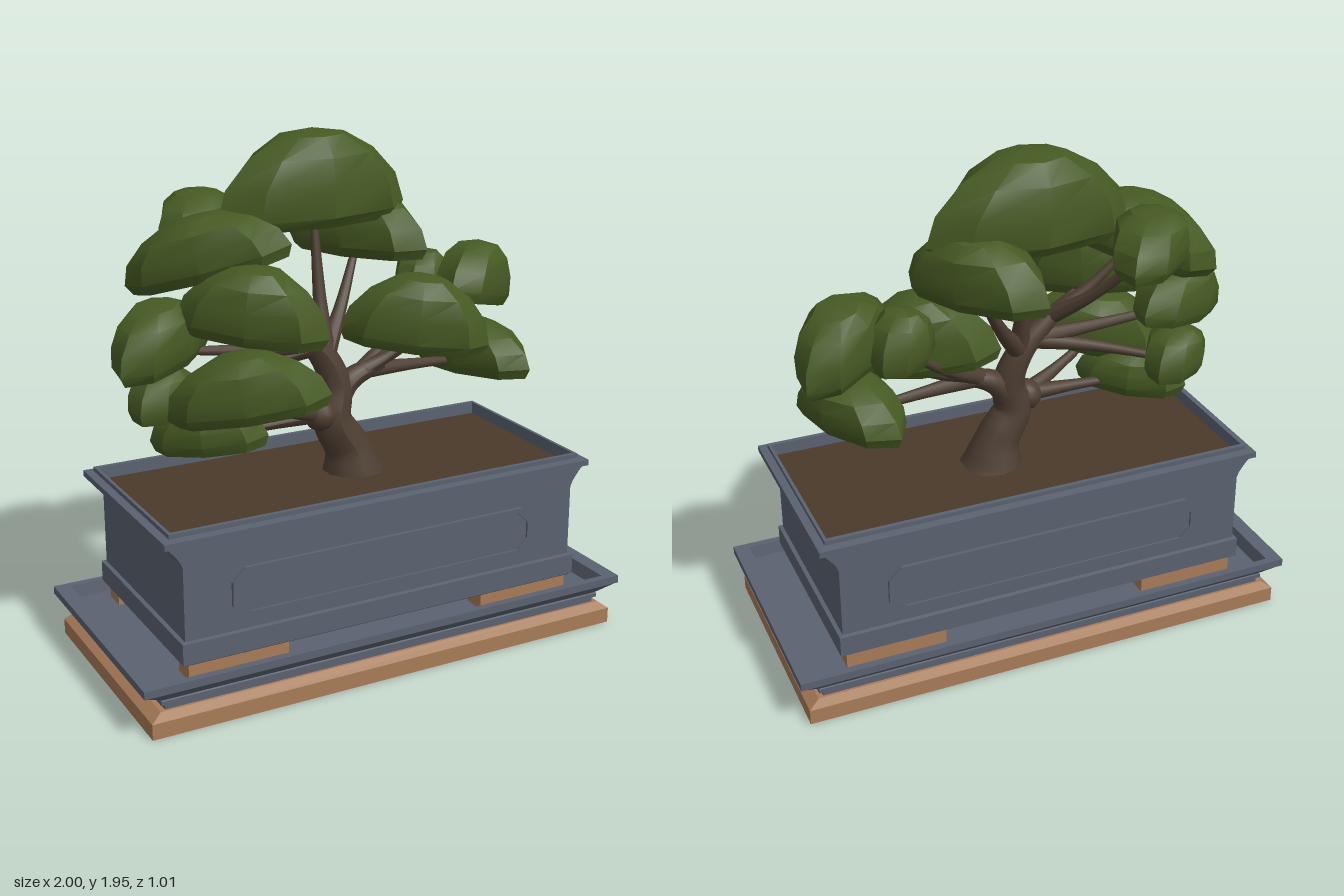
import * as THREE from 'three';
import { toCreasedNormals } from 'three/addons/utils/BufferGeometryUtils.js';

const material = (name, color) => {
  const m = new THREE.MeshStandardMaterial({ color });
  m.name = name;
  return m;
};

const V = (p) => new THREE.Vector3(p[0], p[1], p[2]);

// Skins stacked outlines: each level is [x scale, z scale, y]; a zero scale closes the end
function loft(levels, corners) {
  const pos = [];
  const n = corners.length;
  const at = (i, k) => {
    const [sx, sz, y] = levels[i];
    const c = corners[k % n];
    return [c[0] * sx, y, c[1] * sz];
  };
  for (let i = 0; i < levels.length - 1; i++) {
    for (let k = 0; k < n; k++) {
      const a = at(i, k), b = at(i, k + 1), c = at(i + 1, k + 1), d = at(i + 1, k);
      if (levels[i][0] > 0) pos.push(...a, ...b, ...c);
      if (levels[i + 1][0] > 0) pos.push(...a, ...c, ...d);
    }
  }
  const g = new THREE.BufferGeometry();
  g.setAttribute('position', new THREE.Float32BufferAttribute(pos, 3));
  g.computeVertexNormals();
  return g;
}
const SQUARE = [[1, 1], [1, -1], [-1, -1], [-1, 1]];
const OCTAGON = Array.from({ length: 8 }, (_, k) => [Math.cos(k * Math.PI / 4), -Math.sin(k * Math.PI / 4)]);

// Tapered tube through points [x, y, z, radius]
function limb(points) {
  const curve = new THREE.CatmullRomCurve3(points.map(V));
  const segs = (points.length - 1) * 5;
  const sides = 10;
  const g = new THREE.TubeGeometry(curve, segs, 1, sides, false);
  const pos = g.attributes.position;
  const p = new THREE.Vector3();
  for (let i = 0; i <= segs; i++) {
    const s = curve.getUtoTmapping(i / segs) * (points.length - 1);
    const j = Math.min(Math.floor(s), points.length - 2);
    const r = THREE.MathUtils.lerp(points[j][3], points[j + 1][3], s - j);
    const c = curve.getPointAt(i / segs);
    for (let k = 0; k <= sides; k++) {
      const id = i * (sides + 1) + k;
      p.fromBufferAttribute(pos, id).sub(c).multiplyScalar(r).add(c);
      pos.setXYZ(id, p.x, p.y, p.z);
    }
  }
  g.computeVertexNormals();
  return g;
}

// Foliage dome whose rim runs from A to B
function padGeometry(A, B, height) {
  const half = A.distanceTo(B) / 2;
  const width = 0.07 + 0.26 * half;
  const dome = [[0, 0, -0.045 / height], [0.93, 0.8, -0.04 / height], [1, 0.97, 0], [0.91, 1, 0.36],
    [0.66, 0.92, 0.7], [0.34, 0.6, 0.93], [0, 0, 1]];
  const g = loft(dome.map(([x, z, y]) => [x * half, z * width, y * height]), OCTAGON);
  const X = B.clone().sub(A).normalize();
  const Z = X.clone().cross(new THREE.Vector3(0, 1, 0)).normalize();
  const Y = Z.clone().cross(X);
  const m = new THREE.Matrix4().makeBasis(X, Y, Z).setPosition(A.clone().lerp(B, 0.5));
  return toCreasedNormals(g.applyMatrix4(m), 0.55);
}

// Branch leaving a fork [x, y, z, radius] flatly, then rising to its tip
function branchGeometry(fork, tip) {
  const mid = V(fork).lerp(tip, 0.45);
  mid.y = THREE.MathUtils.lerp(fork[1], tip.y, 0.38);
  return limb([fork, [...mid.toArray(), fork[3] * 0.62], [...tip.toArray(), 0.013]]);
}

// Rectangle with cut corners
function cutRect(Type, w, h, c) {
  const s = new Type();
  [[-w, -h + c], [-w + c, -h], [w - c, -h], [w, -h + c], [w, h - c], [w - c, h], [-w + c, h], [-w, h - c]]
    .forEach(([x, y], i) => (i ? s.lineTo(x, y) : s.moveTo(x, y)));
  s.closePath();
  return s;
}

// Limbs: a fork point with radius, and pads as rim start, rim end, height
const LIMBS = [
  { name: 'crown', fork: [-0.04, 1.12, 0, 0.042], pads: [
    [[-0.42, 1.64, -0.11], [0.37, 1.65, -0.135], 0.31],
    [[0.04, 1.5, -0.45], [0.37, 1.49, 0.05], 0.21]] },
  { name: 'upperRight', fork: [-0.17, 1.24, 0, 0.034], pads: [
    [[-0.58, 1.55, -0.1], [-0.25, 1.58, -0.5], 0.17],
    [[-0.74, 1.42, -0.22], [-0.24, 1.59, 0.13], 0.19],
    [[-0.63, 1.34, -0.02], [-0.19, 1.28, 0.32], 0.23]] },
  { name: 'middleRight', fork: [-0.08, 1.16, 0, 0.036], pads: [
    [[-0.88, 1.17, 0.08], [-0.47, 1.25, -0.18], 0.19],
    [[-0.79, 1, 0.02], [-0.53, 1, -0.2], 0.15]] },
  { name: 'lowerRight', fork: [-0.08, 0.91, 0.04, 0.036], pads: [
    [[-0.7, 0.99, 0.03], [-0.18, 1.08, 0.32], 0.2],
    [[-0.72, 0.87, -0.08], [-0.36, 0.91, 0.17], 0.14]] },
  { name: 'left', fork: [0.12, 1.04, 0, 0.036], pads: [
    [[0.07, 1.19, -0.09], [0.58, 1.12, 0.17], 0.25],
    [[0.53, 1.01, -0.28], [0.74, 1.01, 0.22], 0.16],
    [[0.45, 1.33, 0.1], [0.84, 1.21, -0.2], 0.21],
    [[0.36, 1.28, -0.05], [0.58, 1.28, -0.25], 0.17]] },
];

export function createModel() {
  const slate = material('slate glaze', 0x5a6270);
  const wood = material('warm wood', 0xa87b57);
  const soil = material('soil', 0x4b3a2a);
  const bark = material('bark', 0x4d3e32);
  const leaf = material('leaf green', 0x465a23);

  const model = new THREE.Group();
  model.name = 'pottedTree';
  const planter = new THREE.Group();
  planter.name = 'planter';
  planter.position.z = 0.03;
  const tree = new THREE.Group();
  tree.name = 'tree';
  model.add(planter, tree);
  const add = (parent, name, geo, mat) => {
    const mesh = new THREE.Mesh(geo, mat);
    mesh.name = name;
    parent.add(mesh);
    return mesh;
  };

  // Wooden plinth with a dark underside; steps are half as deep along z
  const step = ([x, y]) => [x, x ? 0.478 - (1 - x) / 2 : 0, y];
  add(planter, 'plinth', loft([[0.97, 0], [0.97, 0.06], [0.93, 0.09], [0, 0.09]].map(step), SQUARE), wood);
  add(planter, 'plinthUnderside', new THREE.BoxGeometry(1.938, 0.006, 0.924).translate(0, 0.003, 0), slate);

  // Drip tray
  add(planter, 'tray', loft([[0, 0.088], [0.91, 0.088], [0.91, 0.108], [0.925, 0.11], [0.925, 0.125],
    [0.92, 0.13], [0.985, 0.165], [1, 0.17], [1, 0.2], [0.94, 0.2], [0.925, 0.15], [0, 0.15]].map(step), SQUARE), slate);

  // Pot feet
  for (const sx of [-1, 1]) for (const sz of [-1, 1]) {
    add(planter, 'potFoot', new THREE.BoxGeometry(0.39, 0.065, 0.09), wood)
      .position.set(sx * 0.605, 0.18, sz * 0.345);
  }

  // Pot with a foot band, flared ends and a stepped rim
  const flare = [0, 0.25, 0.5, 0.75, 1].map((t) => [0.81 + 0.055 * t ** 1.4, 0.39, 0.58 + 0.08 * t]);
  add(planter, 'pot', loft([[0, 0, 0.21], [0.81, 0.39, 0.21], [0.825, 0.405, 0.22], [0.825, 0.405, 0.3],
    [0.81, 0.39, 0.303], ...flare, [0.88, 0.405, 0.662], [0.88, 0.405, 0.685], [0.85, 0.372, 0.688],
    [0.85, 0.372, 0.705], [0.838, 0.355, 0.705], [0.838, 0.355, 0.645], [0, 0, 0.645]], SQUARE), slate);
  add(planter, 'soil', new THREE.BoxGeometry(1.67, 0.02, 0.705).translate(0, 0.648, 0), soil);

  // Raised frames on the front and back
  const frame = cutRect(THREE.Shape, 0.63, 0.095, 0.05);
  frame.holes.push(cutRect(THREE.Path, 0.605, 0.075, 0.042));
  const field = cutRect(THREE.Shape, 0.605, 0.075, 0.042);
  for (const s of [0, 1]) {
    const panel = new THREE.Group();
    panel.name = s ? 'backPanel' : 'frontPanel';
    panel.rotation.y = s * Math.PI;
    planter.add(panel);
    for (const [name, shape, depth] of [['panelFrame', frame, 0.016], ['panelField', field, 0.007]]) {
      const geo = new THREE.ExtrudeGeometry(shape, { depth, bevelEnabled: false });
      add(panel, name, geo.translate(0, 0.446, 0.388), slate);
    }
  }

  // Trunk, its knot and the thick start of the left limb
  add(tree, 'trunk', limb([[0.07, 0.64, 0.015, 0.125], [0.045, 0.75, 0.015, 0.088], [-0.02, 0.87, 0.02, 0.075],
    [0, 0.99, 0.01, 0.062], [-0.05, 1.12, 0, 0.052], [-0.18, 1.25, 0, 0.034]]), bark);
  add(tree, 'trunkKnot', new THREE.SphereGeometry(0.062, 12, 8).translate(-0.085, 0.905, 0.04), bark);
  add(tree, 'leftLimb', limb([[-0.01, 0.9, 0.01, 0.05], [0.06, 1.005, 0, 0.046], [0.2, 1.06, 0, 0.03]]), bark);

  // Branches and foliage pads
  for (const { name, fork, pads } of LIMBS) {
    for (const [a, b, height] of pads) {
      const A = V(a), B = V(b);
      add(tree, name + 'Branch', branchGeometry(fork, A.clone().lerp(B, 0.5)), bark);
      add(tree, name + 'Foliage', padGeometry(A, B, height), leaf);
    }
  }

  return model;
}
